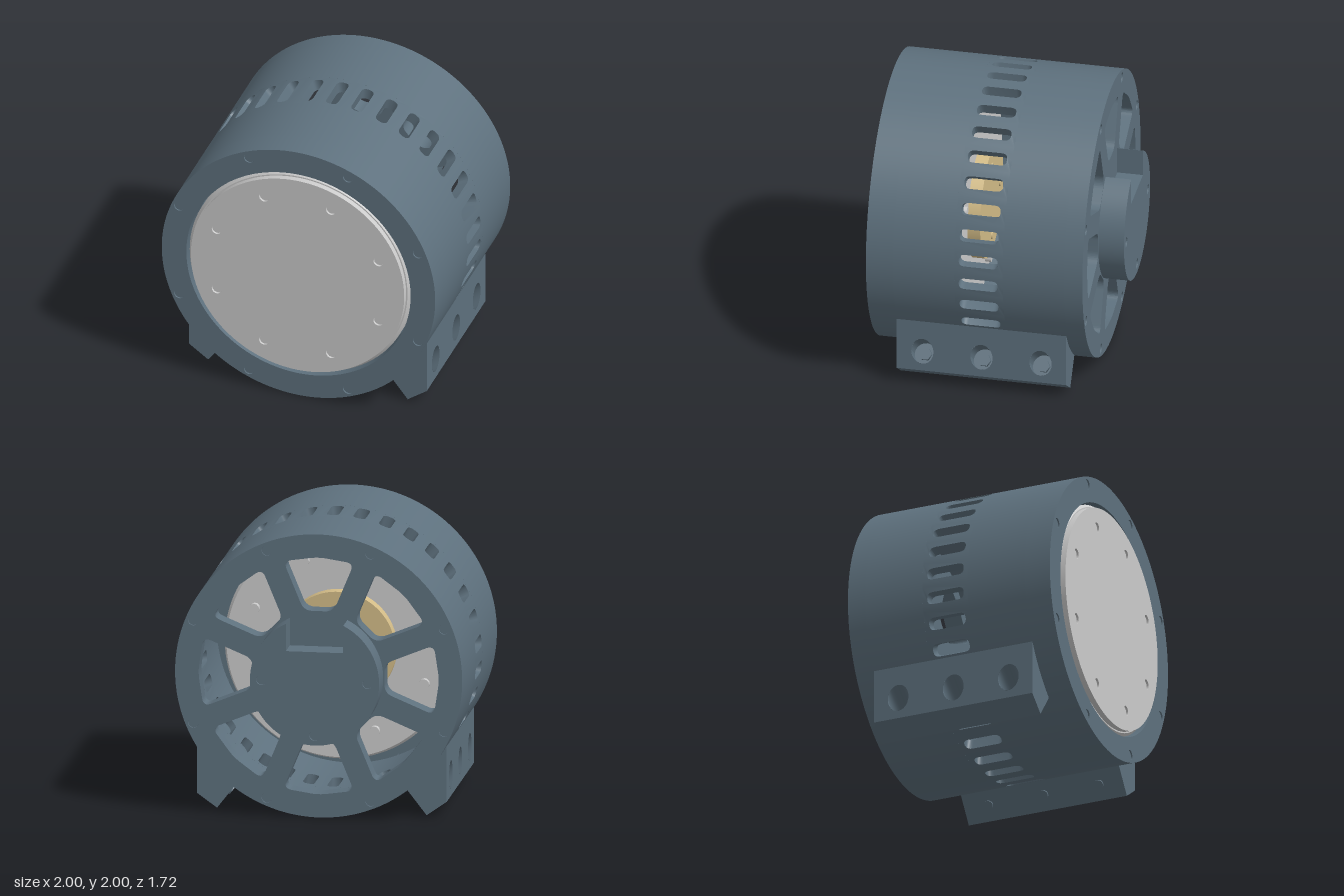
import * as THREE from 'three';
import { mergeGeometries, toCreasedNormals } from 'three/addons/utils/BufferGeometryUtils.js';

const paint = (color) => new THREE.MeshStandardMaterial({ color, side: THREE.DoubleSide });
const TAU = Math.PI * 2;
const BOLT = 0.036;

function add(parent, name, geometry, material) {
  const mesh = new THREE.Mesh(geometry, material);
  mesh.name = name;
  parent.add(mesh);
  return mesh;
}

function circle(r, x = 0, y = 0, Type = THREE.Path) {
  return new Type().absarc(x, y, r, 0, TAU, false);
}

// Eight points on a circle, half a step off the axes
function eight(r) {
  return Array.from({ length: 8 }, (_, i) => {
    const a = (i + 0.5) * TAU / 8;
    return [r * Math.cos(a), r * Math.sin(a)];
  });
}

// Closed polygon with rounded corners
function rounded(points, radius) {
  const path = new THREE.Path();
  points.forEach((p, i) => {
    const prev = points[(i + points.length - 1) % points.length];
    const next = points[(i + 1) % points.length];
    const toward = (q) => p.clone().add(q.clone().sub(p).setLength(radius));
    const a = toward(prev), b = toward(next);
    if (i) path.lineTo(a.x, a.y); else path.moveTo(a.x, a.y);
    path.quadraticCurveTo(p.x, p.y, b.x, b.y);
  });
  path.closePath();
  return path;
}

// Flat shape made solid between two z values
function slab(shape, z0, z1, curveSegments = 136) {
  const g = new THREE.ExtrudeGeometry(shape, { depth: z1 - z0, bevelEnabled: false, curveSegments });
  return toCreasedNormals(g.translate(0, 0, z0), 0.5);
}

function disc(outer, inner, bolts = []) {
  const s = circle(outer, 0, 0, THREE.Shape);
  if (inner) s.holes.push(circle(inner));
  for (const [x, y] of bolts) s.holes.push(circle(BOLT, x, y));
  return s;
}

// Bolt heads sitting in their holes, with z as the centre of the head
function addBolts(parent, name, points, z, material, radius = BOLT) {
  for (const [x, y] of points) {
    const g = new THREE.CylinderGeometry(radius, radius, 0.06, 12).rotateX(Math.PI / 2);
    add(parent, name, g, material).position.set(x, y, z);
  }
}

// Ring of vent slots: one flat panel with a slot, bent round the axis and repeated
function ventBand(count, z0, z1) {
  const half = Math.PI / count, steps = 4, outline = [];
  for (let i = 0; i <= steps; i++) outline.push(new THREE.Vector2(-half + 2 * half * i / steps, z0));
  for (let i = 0; i <= steps; i++) outline.push(new THREE.Vector2(half - 2 * half * i / steps, z1));
  const shape = new THREE.Shape(outline);
  const w = 0.044, a = -0.085, b = 0.19;
  shape.holes.push(rounded([[-w, a], [w, a], [w, b], [-w, b]].map((p) => new THREE.Vector2(...p)), w * 0.95));
  const panel = new THREE.ExtrudeGeometry(shape, { depth: 0.08, bevelEnabled: false, curveSegments: 4 });
  const pos = panel.attributes.position;
  for (let i = 0; i < pos.count; i++) {
    const t = pos.getX(i), r = 0.92 + pos.getZ(i);
    pos.setXYZ(i, -r * Math.sin(t), r * Math.cos(t), pos.getY(i));
  }
  const panels = [];
  for (let i = 0; i < count; i++) panels.push(panel.clone().rotateZ(i * TAU / count));
  return toCreasedNormals(mergeGeometries(panels), 0.5);
}

// Back cap with eight windows between spokes
function backCapShape() {
  const shape = disc(1, 0, eight(0.945));
  const r0 = 0.47, r1 = 0.84, spoke = 0.08;
  const a0 = Math.PI / 8 - Math.asin(spoke / r0), a1 = Math.PI / 8 - Math.asin(spoke / r1);
  for (let i = 0; i < 8; i++) {
    const at = (r, a) => new THREE.Vector2(r, 0).rotateAround(new THREE.Vector2(), a + i * TAU / 8);
    shape.holes.push(rounded([at(r0, -a0), at(r1, -a1), at(r1, 0), at(r1, a1), at(r0, a0)], 0.06));
  }
  return shape;
}

// Mounting foot on the +x side, with angled counterbores
function makeFoot(material) {
  const foot = new THREE.Group();
  const len = 1.19, X = 0.87, profile = [[X, -0.5], [X, -0.89], [0.73, -0.99], [0.59, -0.81]];
  const shape = new THREE.Shape(profile.map((p) => new THREE.Vector2(...p)).reverse());
  for (const a of [-0.58, -0.66, -0.74, -0.82, -0.9]) shape.lineTo(0.98 * Math.cos(a), 0.98 * Math.sin(a));
  // simple outline: the curved seat is hidden against the housing
  const outline = new THREE.Shape([[0.59, -0.81], [0.73, -0.99], [X, -0.89], [X, -0.5], [0.78, -0.57], [0.68, -0.7]]
    .map((p) => new THREE.Vector2(...p)));
  const solid = new THREE.ExtrudeGeometry(outline, { depth: len, bevelEnabled: false }).translate(0, 0, -len / 2);
  // leave the outer face open, it is replaced by one with holes
  const src = solid.attributes.position, kept = [];
  for (let i = 0; i < src.count; i += 3) {
    if ([0, 1, 2].every((k) => Math.abs(src.getX(i + k) - X) < 1e-4)) continue;
    for (let k = 0; k < 3; k++) kept.push(src.getX(i + k), src.getY(i + k), src.getZ(i + k));
  }
  const block = new THREE.BufferGeometry();
  block.setAttribute('position', new THREE.Float32BufferAttribute(kept, 3));
  block.computeVertexNormals();
  add(foot, 'footBlock', block, material);

  const axis = new THREE.Vector3(0.79, 0.613, 0).normalize();
  const base = new THREE.Vector3(0.66, -0.9, 0);
  const tilt = Math.atan2(axis.y, axis.x);
  const r = 0.078, holeY = base.y + axis.y * (X - base.x) / axis.x;
  const face = new THREE.Shape([[-len / 2, -0.89], [len / 2, -0.89], [len / 2, -0.5], [-len / 2, -0.5]]
    .map((p) => new THREE.Vector2(...p)));
  for (const z of [-0.415, 0, 0.415]) {
    face.holes.push(new THREE.Path().absellipse(-z, holeY, r, r / axis.x, 0, TAU, false, 0));
    // bore wall, trimmed to the outer face
    const bore = new THREE.CylinderGeometry(r, r, 0.2, 24, 1, true).rotateZ(tilt - Math.PI / 2);
    const mid = base.clone().addScaledVector(axis, 0.2);
    bore.translate(mid.x, mid.y, z);
    const p = bore.attributes.position;
    for (let i = 0; i <= 24; i++) {
      const t = (X - p.getX(i)) / axis.x;
      p.setXYZ(i, X, p.getY(i) + axis.y * t, p.getZ(i));
    }
    bore.computeVertexNormals();
    add(foot, 'counterbore', bore, material);
    const put = (name, g, t) => {
      const m = add(foot, name, g.rotateZ(tilt - Math.PI / 2), material);
      m.position.copy(base).addScaledVector(axis, t).setZ(z);
    };
    put('counterboreFloor', new THREE.CylinderGeometry(r, r, 0.01, 24), 0.105);
    put('footBolt', new THREE.CylinderGeometry(0.046, 0.046, 0.04, 6), 0.125);
    put('footBoltTip', new THREE.CylinderGeometry(0.034, 0.034, 0.02, 16), -0.002);
  }
  add(foot, 'footOuterFace', new THREE.ShapeGeometry(face, 24).rotateY(Math.PI / 2).translate(X, 0, 0), material);
  return foot;
}

export function createModel() {
  const model = new THREE.Group();
  const body = new THREE.Group();
  body.name = 'body';
  body.position.y = 1;
  model.add(body);
  const shell = paint(0x5e717e), grey = paint(0xcccccc), board = paint(0xd4bd88);

  // Housing
  add(body, 'housingFrontTube', slab(disc(1, 0.92), 0.22, 0.65), shell);
  add(body, 'housingRearTube', slab(disc(1, 0.92), -0.55, -0.12), shell);
  add(body, 'ventBand', ventBand(34, -0.12, 0.22), shell);

  // End caps and their bolts
  add(body, 'frontCap', slab(disc(1, 0.82, eight(0.945)), 0.65, 0.84), shell);
  add(body, 'backCap', slab(backCapShape(), -0.68, -0.55), shell);
  addBolts(body, 'frontCapBolt', eight(0.945), 0.8, shell);
  addBolts(body, 'backCapBolt', eight(0.945), -0.64, shell);

  // Rear hub with a cable notch at the top
  const a = Math.asin(0.2 / 0.45);
  const hub = new THREE.Shape();
  hub.moveTo(-0.2, 0.21);
  hub.lineTo(-0.2, 0.403);
  hub.absarc(0, 0, 0.45, Math.PI / 2 + a, TAU + Math.PI / 2 - a, false);
  hub.lineTo(0.2, 0.21);
  hub.closePath();
  const hubBolts = [[0.37, 0], [-0.37, 0], [0, -0.38]];
  for (const [x, y] of hubBolts) hub.holes.push(circle(BOLT, x, y));
  add(body, 'rearHub', slab(hub, -0.86, -0.68, 72), shell);
  addBolts(body, 'hubBolt', hubBolts, -0.82, shell);

  // Ribbed inner drum and the front cover
  const rim = [[0, 0.25], [0.79, 0.25]];
  for (let z = 0.28; z < 0.8; z += 0.08) rim.push([0.79, z], [0.81, z + 0.02], [0.81, z + 0.04], [0.79, z + 0.06]);
  rim.push([0.79, 0.82], [0, 0.82]);
  const drum = new THREE.LatheGeometry(rim.map((p) => new THREE.Vector2(...p)), 96).rotateX(Math.PI / 2);
  // the axis turns from y to z
  add(body, 'drum', toCreasedNormals(drum, 0.5), grey);
  add(body, 'frontCover', slab(disc(0.78, 0, eight(0.64)), 0.815, 0.86), grey);
  addBolts(body, 'coverScrew', eight(0.64), 0.815, grey);
  addBolts(body, 'drumScrew', eight(0.64), 0.24, grey);

  // Round board on the back of the drum
  add(body, 'board', slab(disc(0.4, 0), 0.16, 0.25, 72), board);
  addBolts(body, 'boardScrew', [[0, 0], [0.27, 0], [-0.27, 0], [0, 0.27], [0, -0.27]], 0.18, board, 0.03);

  // Feet on both sides
  for (const side of [1, -1]) {
    const foot = makeFoot(shell);
    foot.name = side > 0 ? 'leftFoot' : 'rightFoot';
    foot.position.z = 0.055;
    foot.rotation.y = side > 0 ? 0 : Math.PI;
    body.add(foot);
  }
  return model;
}
